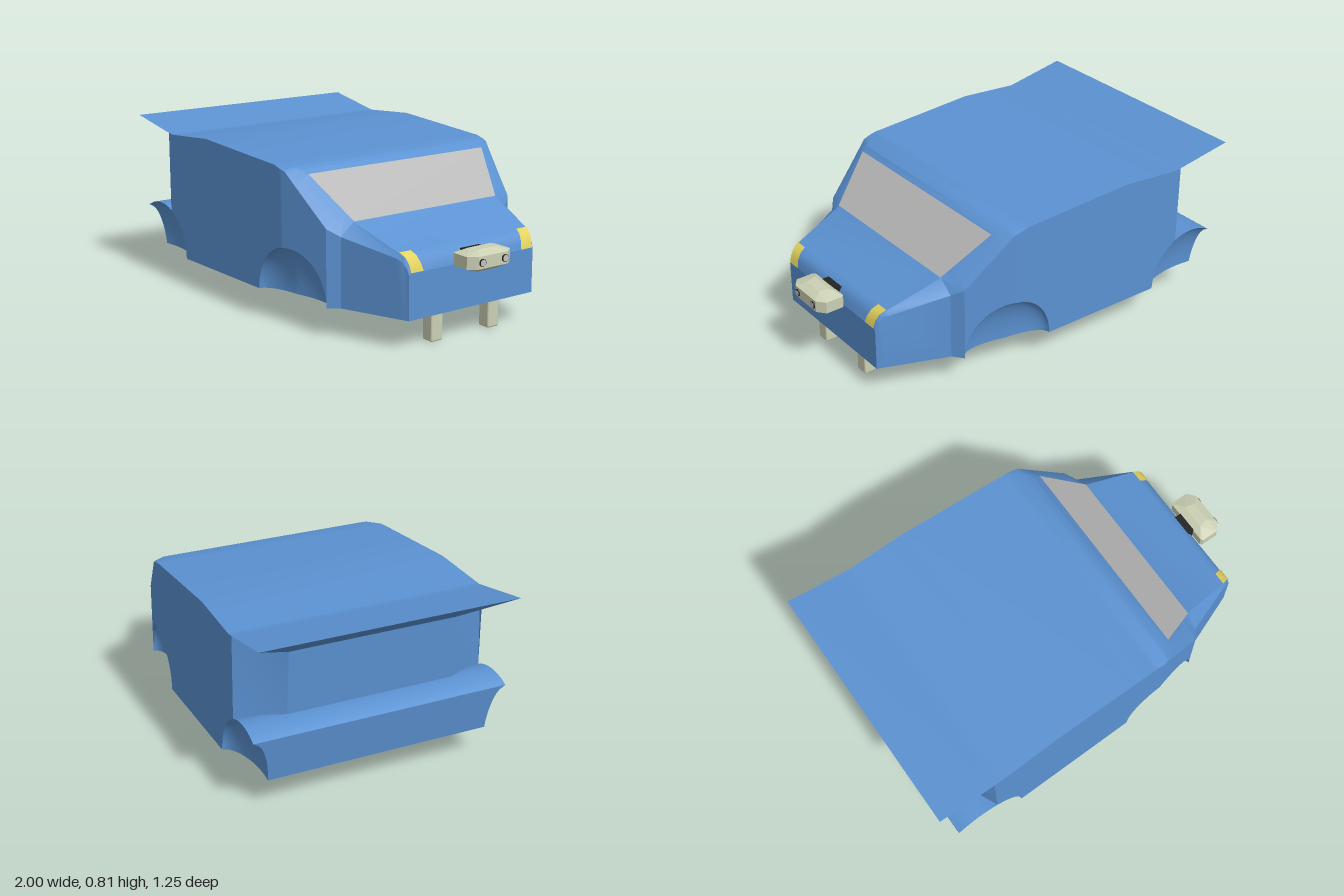
import * as THREE from 'three';
import { toCreasedNormals } from 'three/addons/utils/BufferGeometryUtils.js';
import { RoundedBoxGeometry } from 'three/addons/geometries/RoundedBoxGeometry.js';
import { ConvexGeometry } from 'three/addons/geometries/ConvexGeometry.js';

function mat(name, color, side = THREE.FrontSide) {
  const m = new THREE.MeshStandardMaterial({ color, side });
  m.name = name;
  return m;
}

// Piecewise linear lookup in a list of [x, value]
function at(table, x) {
  let i = 0;
  while (i < table.length - 2 && x > table[i + 1][0]) i++;
  const [x0, a] = table[i], [x1, b] = table[i + 1];
  return a + (b - a) * THREE.MathUtils.clamp((x - x0) / (x1 - x0), 0, 1);
}

// Surface through rows of [x, y, z] points
function grid(rows, crease = 0.5) {
  const n = rows[0].length, index = [];
  for (let i = 0; i < rows.length - 1; i++) {
    for (let j = 0; j < n - 1; j++) {
      const a = i * n + j, b = a + n;
      index.push(a, b, a + 1, b, b + 1, a + 1);
    }
  }
  const g = new THREE.BufferGeometry();
  g.setAttribute('position', new THREE.Float32BufferAttribute(rows.flat(2), 3));
  g.setIndex(index);
  return toCreasedNormals(g, crease);
}

const FLOOR = 0.14, DEPTH = 0.085, CABIN_REAR = -0.71;
const ARCHES = [{ x: -0.81, rx: 0.235, ry: 0.245 }, { x: 0.2825, rx: 0.218, ry: 0.235 }];

// Centre line, side top edge, side width and roof width along the body
const TOP = [[-1, 0.805], [-0.68, 0.75], [-0.37, 0.775], [0.27, 0.74], [0.3, 0.728], [0.33, 0.71],
  [0.54, 0.522], [0.8, 0.432], [0.83, 0.415], [0.85, 0.385], [0.86, 0.35]];
const EDGE = [[-1, 0.805], [-0.68, 0.75], [-0.37, 0.775], [0.2, 0.744], [0.27, 0.725], [0.33, 0.665],
  [0.5, 0.5], [0.54, 0.465], [0.8, 0.41], [0.83, 0.395], [0.85, 0.37], [0.86, 0.34]];
const SIDE = [[-1, 0.624], [0.25, 0.6], [0.5, 0.535], [0.54, 0.485], [0.86, 0.36]];
const ROOF = [[-1, 0.624], [0.2, 0.601], [0.27, 0.55], [0.33, 0.51], [0.54, 0.415], [0.8, 0.37], [0.86, 0.352]];

// Wheel arch height and wheel bowl depth
function archY(x) {
  let y = FLOOR;
  for (const a of ARCHES) y += a.ry * Math.sqrt(Math.max(0, 1 - ((x - a.x) / a.rx) ** 2));
  return y;
}
function innerZ(x, y) {
  let z = at(SIDE, x);
  for (const a of ARCHES) {
    z -= DEPTH * Math.sqrt(Math.max(0, 1 - ((x - a.x) / a.rx) ** 2 - ((y - FLOOR) / a.ry) ** 2));
  }
  return z;
}
const bumperX = (y) => -0.9 - 0.03 * (y - FLOOR) / 0.205;

// Stations along x, dense around the arches
function stations(from, to) {
  const xs = [from, to, ...TOP.map(p => p[0]), ...EDGE.map(p => p[0]), ...SIDE.map(p => p[0])];
  for (const a of ARCHES) {
    for (let i = 0; i <= 28; i++) xs.push(a.x + a.rx * Math.cos(Math.PI * i / 28));
  }
  return [...new Set(xs)].filter(x => x >= from && x <= to).sort((a, b) => a - b);
}

export function createModel() {
  const model = new THREE.Group();
  const blue = mat('blue paint', 0x5b92d2, THREE.DoubleSide);
  const glass = mat('grey glass', 0xb8b8b8, THREE.DoubleSide);
  const yellow = mat('yellow lamp', 0xe2d25e, THREE.DoubleSide);
  const cream = mat('cream casing', 0xcbd0b4);
  const black = mat('black joint', 0x222222);
  const lens = mat('lens grey', 0xbfc1c2);

  function add(name, geometry, material, x = 0, y = 0, z = 0, parent = model) {
    const m = new THREE.Mesh(geometry, material);
    m.name = name;
    m.position.set(x, y, z);
    parent.add(m);
    return m;
  }

  // Sides, roof, windscreen frame and bonnet
  add('bodyShell', grid(stations(CABIN_REAR, 0.86).map(x => {
    const half = [[x, archY(x), at(SIDE, x)], [x, at(EDGE, x), at(SIDE, x)], [x, at(TOP, x), at(ROOF, x)]];
    return [...half, ...half.map(([a, b, c]) => [a, b, -c]).reverse()];
  })), blue);

  // Nose panel
  add('nosePanel', grid([1, -1].map(s => [
    [0.86, FLOOR, s * 0.36], [0.86, 0.34, s * 0.36], [0.86, 0.35, s * 0.352]])), blue);

  // Floor, notched at the wheels
  add('floor', grid(stations(-0.9, 0.86).map(x =>
    [[x, FLOOR, -innerZ(x, FLOOR)], [x, FLOOR, innerZ(x, FLOOR)]])), blue);

  // Rear wing with its underside
  const wing = new THREE.Group();
  wing.name = 'rearWing';
  model.add(wing);
  const tip = s => [-1, 0.805, s * 0.624], roof = s => [-0.69, 0.751, s * 0.618], post = s => [-0.83, 0.69, s * 0.41];
  add('wingTop', grid([-1, -0.71, -0.68].map(x =>
    [[x, at(TOP, x), at(SIDE, x)], [x, at(TOP, x), -at(SIDE, x)]])), blue, 0, 0, 0, wing);
  add('wingUnderside', grid([[roof(1), roof(1)], [tip(1), post(1)], [tip(-1), post(-1)], [roof(-1), roof(-1)]], 0.1),
    blue, 0, 0, 0, wing);

  // Angled rear pillars and tailgate
  const foot = s => [CABIN_REAR, archY(CABIN_REAR), s * at(SIDE, CABIN_REAR)];
  add('tailgate', grid([
    [foot(-1), roof(-1)], [[-0.81, 0.38, -0.41], post(-1)],
    [[-0.81, 0.38, 0.41], post(1)], [foot(1), roof(1)]], 0.2), blue);

  // Rear shelf following the arches, and the bumper below it
  const lipY = archY(-0.93);
  add('rearShelf', grid(stations(-0.93, CABIN_REAR).map(x =>
    [[x, archY(x), at(SIDE, x)], [x, archY(x), -at(SIDE, x)]])), blue);
  const bumper = [];
  for (let i = 0; i <= 12; i++) {
    const y = FLOOR + (lipY - FLOOR) * i / 12, x = bumperX(y), z = i === 12 ? at(SIDE, x) : innerZ(x, y);
    bumper.push([[x, y, z], [x, y, -z]]);
  }
  add('rearBumper', grid(bumper), blue);

  // Shallow domed wheel bowls
  ARCHES.forEach((a, k) => {
    for (const s of [1, -1]) {
      const rows = [];
      for (let i = 0; i <= 28; i++) {
        const t = Math.PI * i / 28, row = [];
        for (let j = 0; j <= 10; j++) {
          const r = Math.sin(Math.PI / 2 * j / 10);
          const y = Math.min(FLOOR + a.ry * r * Math.sin(t), k ? 1 : archY(a.x));
          const x = Math.max(a.x + a.rx * r * Math.cos(t), k ? -1 : bumperX(Math.min(y, lipY)));
          row.push([x, y, s * innerZ(x, y)]);
        }
        rows.push(s > 0 ? row.reverse() : row);
      }
      add((k ? 'front' : 'rear') + 'WheelBowl', grid(rows, 0.8), blue);
    }
  });

  // Windscreen
  add('windscreen', grid([[0.33, 0.51], [0.54, 0.415]].map(([x, z]) =>
    [[x + 0.003, at(TOP, x) + 0.003, z], [x + 0.003, at(TOP, x) + 0.003, -z]])), glass);

  // Headlights wrapped over the nose edge
  for (const s of [1, -1]) {
    add('headlight', grid([0.8, 0.83, 0.85, 0.86].map((x, i) => {
      const y = at(TOP, x) + 0.003, inner = 0.308 - 0.008 * i, outer = at(ROOF, x);
      const row = [[x + 0.004, y, s * outer], [x + 0.004, y, s * inner]];
      return s > 0 ? row : row.reverse();
    }), 0.9), yellow);
  }

  // Sensor head on the nose
  const sensor = new THREE.Group();
  sensor.name = 'sensorHead';
  model.add(sensor);
  const points = [];
  for (const s of [1, -1]) {
    for (const y of [0.352, 0.408]) {
      points.push([0.865, y, s * 0.115], [0.875, y, s * 0.125], [0.96, y, s * 0.125], [0.992, y, s * 0.085]);
    }
    for (const y of [0.328, 0.428]) points.push([0.9, y, s * 0.065], [0.95, y, s * 0.05]);
  }
  add('sensorCasing', new ConvexGeometry(points.map(p => new THREE.Vector3(...p))), cream, 0, 0, 0, sensor);
  add('sensorJoint', new THREE.BoxGeometry(0.05, 0.06, 0.11), black, 0.85, 0.38, 0, sensor);
  for (const s of [1, -1]) {
    add('sensorRim', new THREE.CylinderGeometry(0.017, 0.017, 0.012, 20).rotateZ(-Math.PI / 2),
      black, 0.993, 0.38, s * 0.065, sensor);
    add('sensorLens', new THREE.CylinderGeometry(0.015, 0.015, 0.014, 20).rotateZ(-Math.PI / 2),
      lens, 0.993, 0.38, s * 0.065, sensor);
  }

  // Two stub feet under the nose
  for (const s of [1, -1]) {
    add('foot', new RoundedBoxGeometry(0.065, 0.132, 0.065, 2, 0.008), cream, 0.788, 0.066, s * 0.166);
    add('footJoint', new THREE.BoxGeometry(0.045, 0.012, 0.06), black, 0.788, 0.135, s * 0.166);
  }
  return model;
}
